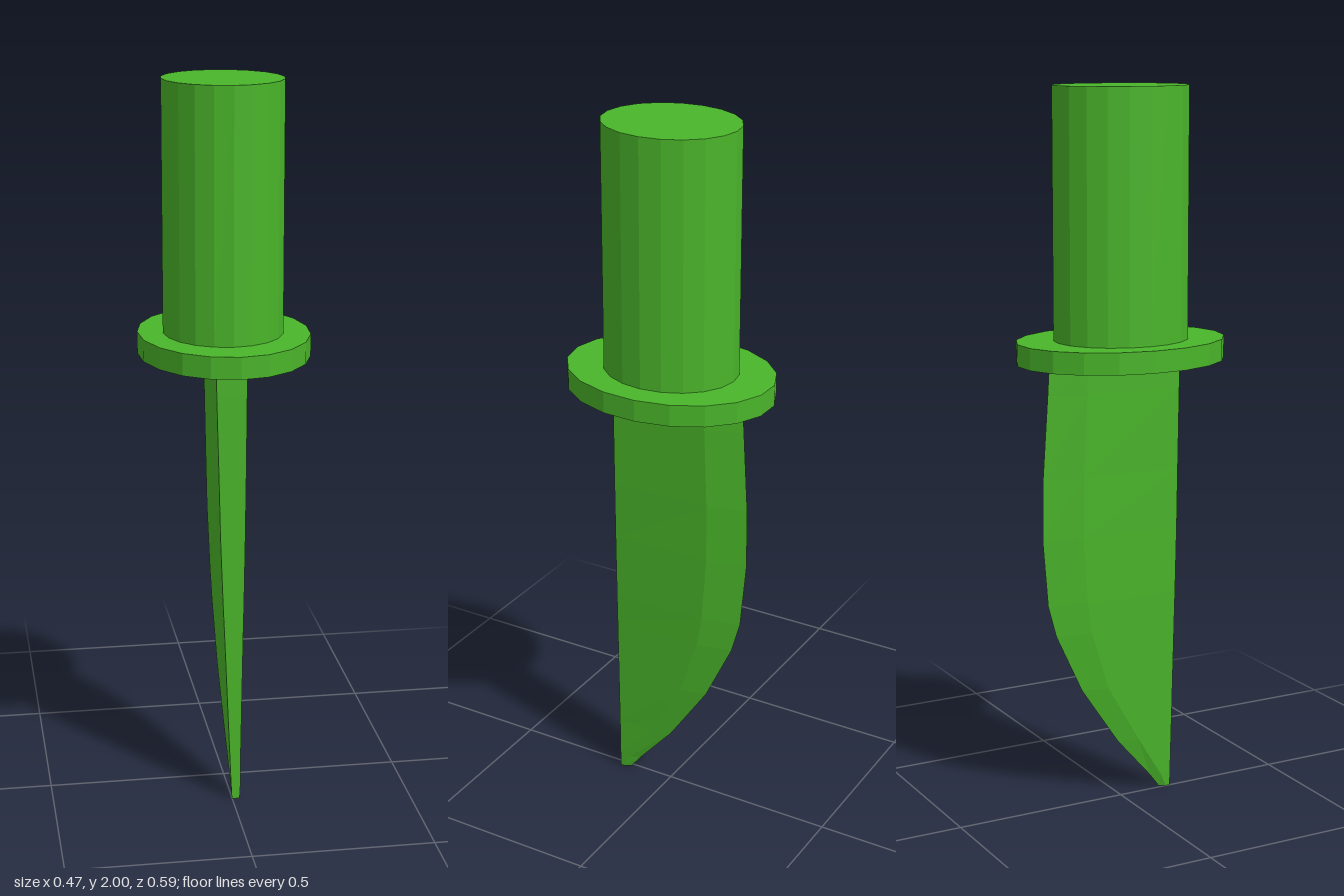
import * as THREE from 'three';

const material = new THREE.MeshStandardMaterial({ color: 0x4ab52a, flatShading: true });

// Oval disc or grip standing between two heights
function ovalPrism(name, rx, rz, y0, y1, sides, turn) {
  const geometry = new THREE.CylinderGeometry(1, 1, y1 - y0, sides, 1, false, turn);
  geometry.scale(rx, 1, rz);
  const mesh = new THREE.Mesh(geometry, material);
  mesh.name = name;
  mesh.position.y = (y0 + y1) / 2;
  return mesh;
}

// Blade: five-cornered sections (flat spine, two cheeks, sharp edge) joined downwards
function bladeGeometry() {
  const spineZ = 0.16;
  // height, centre x, half thickness, z of bevel line, z of cutting edge
  const sections = [
    [1.28, -0.002, 0.042, -0.12, -0.218],
    [1.18, -0.002, 0.041, -0.122, -0.224],
    [0.95, 0, 0.037, -0.13, -0.239],
    [0.78, 0.001, 0.034, -0.13, -0.241],
    [0.59, 0.003, 0.029, -0.115, -0.225],
    [0.50, 0.004, 0.026, -0.1, -0.2],
    [0.33, 0.006, 0.021, -0.045, -0.12],
    [0.16, 0.008, 0.016, 0.055, -0.005],
    [0.04, 0.01, 0.013, 0.13, 0.1],
    [0, 0.01, 0.011, 0.148, 0.13],
  ];
  const positions = [];
  const index = [];
  sections.forEach(([y, cx, w, bevelZ, edgeZ], i) => {
    positions.push(
      cx + w, y, spineZ,
      cx + w * 0.85, y, bevelZ,
      cx, y, edgeZ,
      cx - w * 0.85, y, bevelZ,
      cx - w, y, spineZ,
    );
    if (i === 0) return;
    const up = (i - 1) * 5;
    const low = i * 5;
    for (let a = 0; a < 5; a++) {
      const b = (a + 1) % 5;
      index.push(low + a, low + b, up + b, low + a, up + b, up + a);
    }
  });
  // Close both ends
  const last = (sections.length - 1) * 5;
  for (let k = 1; k < 4; k++) {
    index.push(0, k, k + 1);
    index.push(last, last + k + 1, last + k);
  }
  const geometry = new THREE.BufferGeometry();
  geometry.setAttribute('position', new THREE.Float32BufferAttribute(positions, 3));
  geometry.setIndex(index);
  const flat = geometry.toNonIndexed();
  flat.computeVertexNormals();
  return flat;
}

export function createModel() {
  const group = new THREE.Group();
  group.name = 'knife';

  const handle = ovalPrism('handle', 0.164, 0.19, 1.31, 2, 20, 0);
  handle.position.x = -0.002;
  const guard = ovalPrism('guard', 0.234, 0.298, 1.26, 1.32, 19, 0);

  const blade = new THREE.Mesh(bladeGeometry(), material);
  blade.name = 'blade';

  group.add(handle, guard, blade);
  return group;
}
